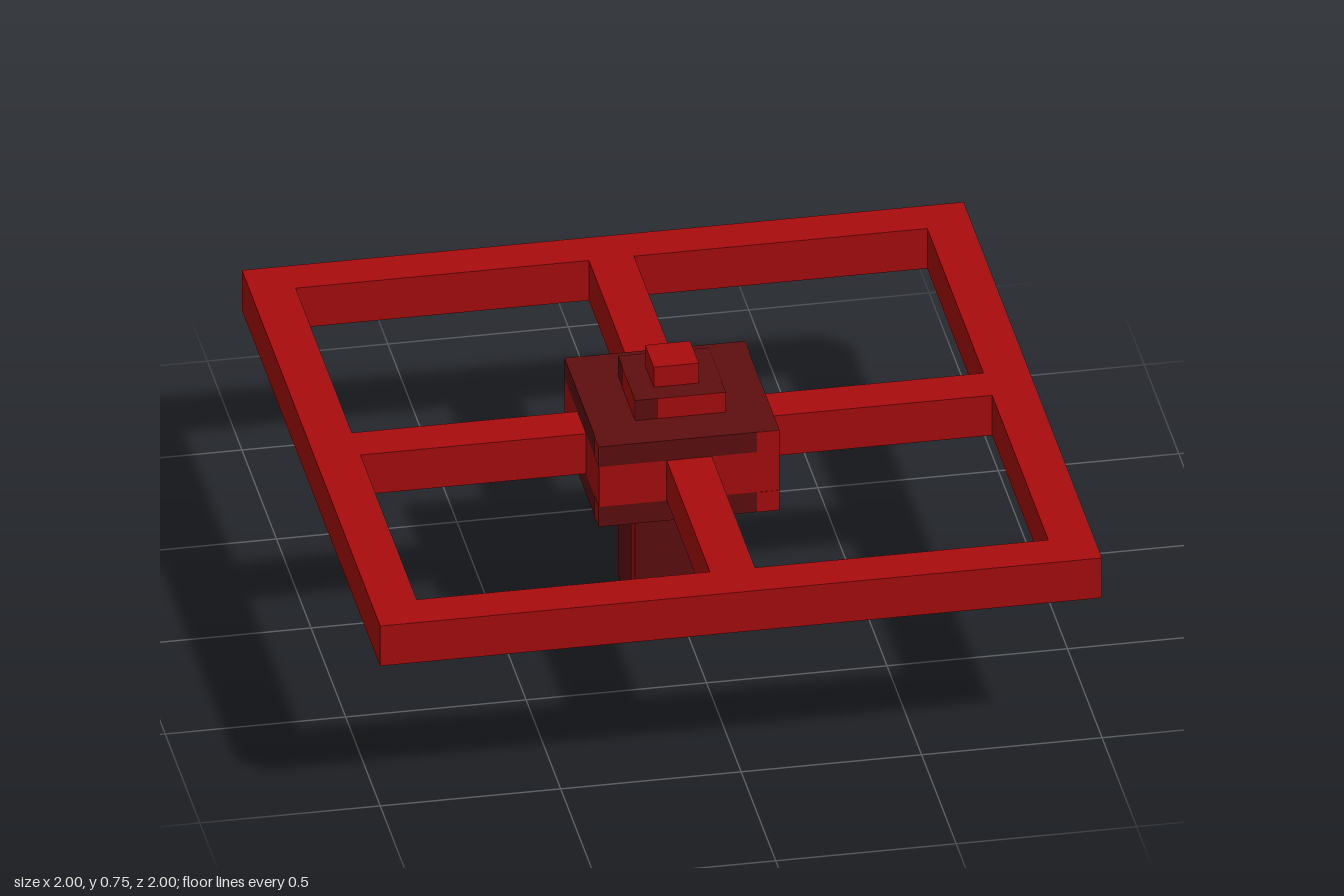
import * as THREE from 'three';

export function createModel() {
  const red = new THREE.MeshStandardMaterial({ color: 0xaa0c0e });
  red.name = 'valve red';
  const dark = new THREE.MeshStandardMaterial({ color: 0x5f0e10 });
  dark.name = 'dark red';
  const model = new THREE.Group();
  model.name = 'handwheel';

  // Box standing on height y, with separate side, top and bottom colours
  function box(name, [w, h, d], [x, y, z], side, top = side, bottom = dark, parent = model) {
    const mats = [side, side, top, bottom, side, side];
    const mesh = new THREE.Mesh(new THREE.BoxGeometry(w, h, d), mats);
    mesh.name = name;
    mesh.position.set(x, y + h / 2, z);
    parent.add(mesh);
  }

  // Central column, from the floor up
  box('shaft', [0.25, 0.375, 0.25], [0, 0, 0], dark);
  box('hubLower', [0.5, 0.0625, 0.5], [0, 0.375, 0], dark);
  box('hubMiddle', [0.5, 0.125, 0.5], [0, 0.4375, 0], red);
  box('hubUpper', [0.5, 0.0625, 0.5], [0, 0.5625, 0], dark);
  box('cap', [0.25, 0.0625, 0.25], [0, 0.625, 0], dark);
  box('knob', [0.125, 0.0625, 0.125], [0, 0.6875, 0], red);

  // Thin painted plate on a front side, between two x positions
  function strip(name, x0, x1, y, h, z, parent) {
    box(name, [x1 - x0, h, 0.002], [(x0 + x1) / 2, y, z], red, red, red, parent);
  }

  // Rail, spoke and painted edges repeat on all four sides
  for (let i = 0; i < 4; i++) {
    const side = new THREE.Group();
    side.name = 'wheelSide' + (i + 1);
    side.rotation.y = i * Math.PI / 2;
    box('rimRail', [1.875, 0.125, 0.125], [-0.0625, 0.4375, 0.9375], red, red, dark, side);
    box('spoke', [0.125, 0.125, 0.625], [0, 0.4375, 0.5625], red, red, dark, side);
    strip('shaftStripe', 0.0625, 0.125, 0, 0.375, 0.125, side);
    strip('hubLowerStripe', 0.1875, 0.25, 0.375, 0.0625, 0.25, side);
    strip('hubUpperStripe', 0.1875, 0.25, 0.5625, 0.0625, 0.25, side);
    strip('capStripe', -0.0625, 0.125, 0.625, 0.0625, 0.125, side);
    model.add(side);
  }
  return model;
}
